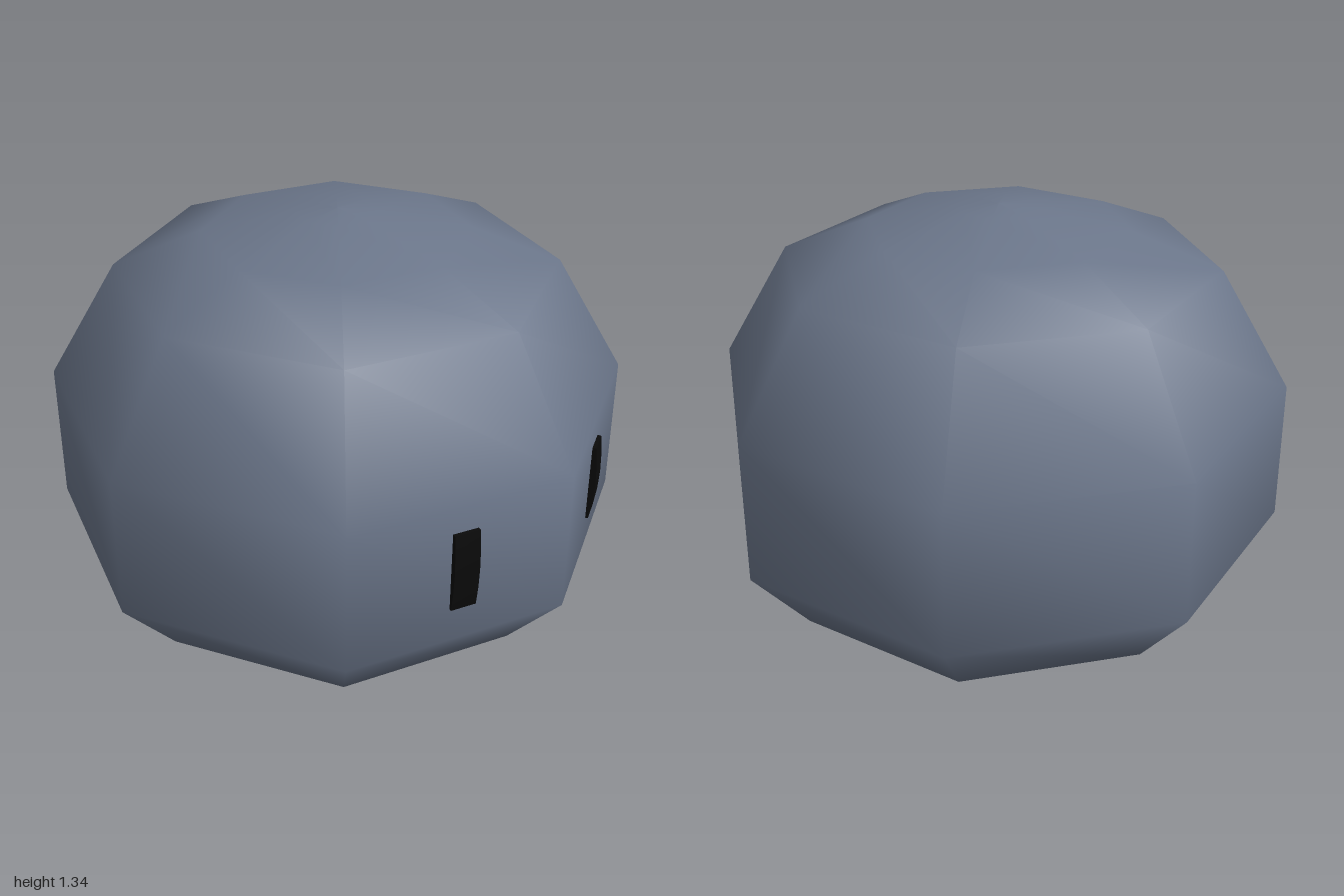
import * as THREE from 'three';

const bodyMaterial = new THREE.MeshStandardMaterial({ color: 0x6b768a });
const eyeMaterial = new THREE.MeshStandardMaterial({ color: 0x0a0a0a });

// Eight-sided dome, closed underneath, with smooth shading
function createBody() {
  const profile = [
    [0, 0], [0.8, 0], [1, 0.25], [0.993, 0.745],
    [0.75, 1.15], [0.45, 1.27], [0.14, 1.333], [0, 1.344],
  ].map(([r, y]) => new THREE.Vector2(r, y));
  const body = new THREE.Mesh(new THREE.LatheGeometry(profile, 8), bodyMaterial);
  body.name = 'body';
  return body;
}

// Thin upright strip, bowed outward at mid height
function createEye(side) {
  const geometry = new THREE.BoxGeometry(0.087, 0.28, 0.03, 1, 4, 1);
  const position = geometry.attributes.position;
  for (let i = 0; i < position.count; i++) {
    const t = position.getY(i) / 0.14;
    position.setZ(i, position.getZ(i) + 0.011 * (1 - t * t));
  }
  geometry.computeVertexNormals();
  const eye = new THREE.Mesh(geometry, eyeMaterial);
  eye.name = side > 0 ? 'leftEye' : 'rightEye';
  // Lies flush on the front facet of its side
  eye.position.set(side * 0.342, 0.513, 0.85);
  eye.rotation.y = side * Math.PI / 8;
  return eye;
}

export function createModel() {
  const model = new THREE.Group();
  model.name = 'domeCreature';
  model.add(createBody(), createEye(1), createEye(-1));
  return model;
}
